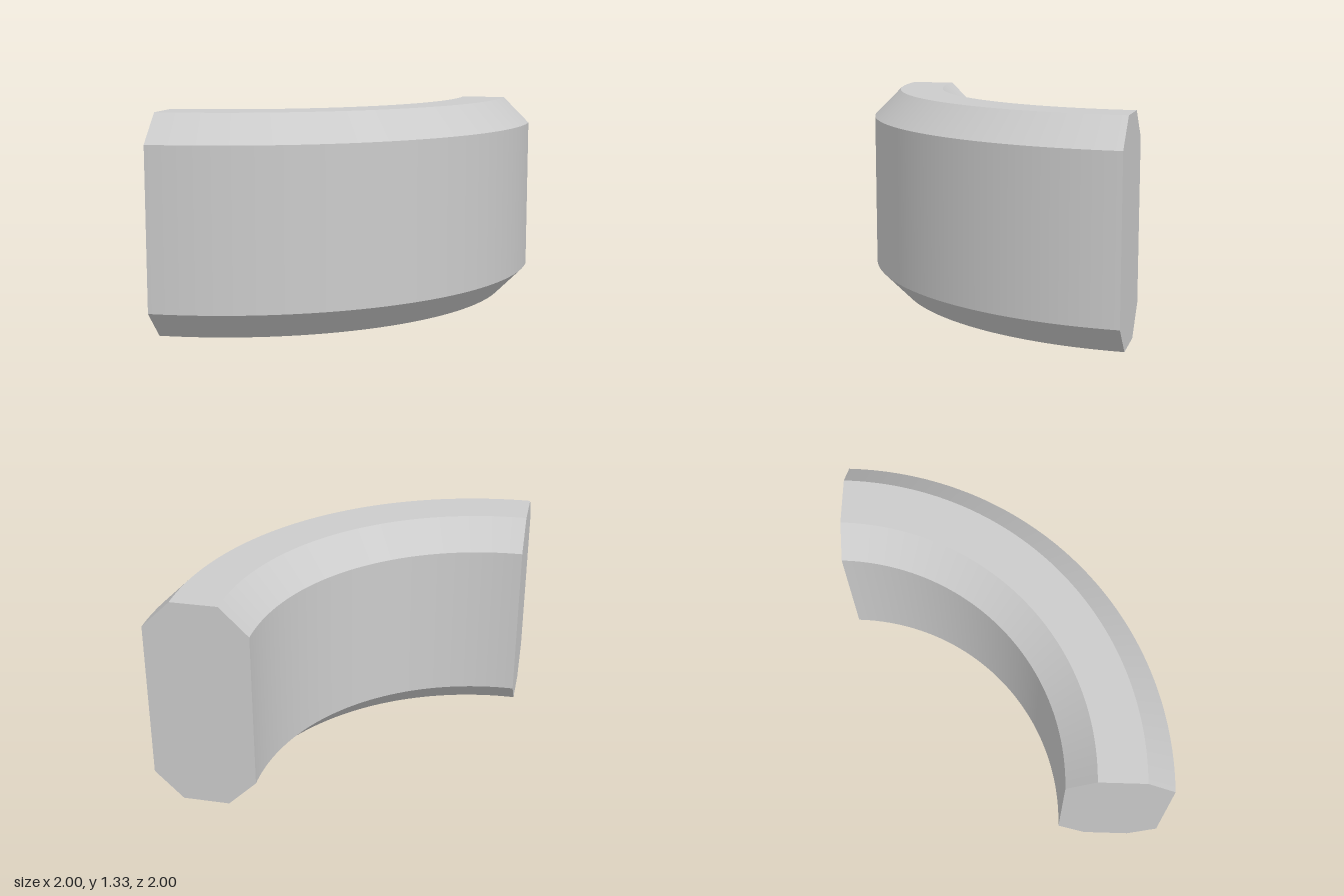
import * as THREE from 'three';
import { mergeGeometries } from 'three/addons/utils/BufferGeometryUtils.js';

const INNER = 1.375, OUTER = 2, HEIGHT = 1.325, CHAMFER = 0.172;

// Chamfered rectangle in (radius, height), anticlockwise from the lower outer edge
const profile = [
  [OUTER - CHAMFER, 0], [OUTER, CHAMFER],
  [OUTER, HEIGHT - CHAMFER], [OUTER - CHAMFER, HEIGHT],
  [INNER + CHAMFER, HEIGHT], [INNER, HEIGHT - CHAMFER],
  [INNER, CHAMFER], [INNER + CHAMFER, 0],
].map(([r, y]) => new THREE.Vector2(r, y));

export function createModel() {
  const group = new THREE.Group();
  group.name = 'quarterRing';
  const material = new THREE.MeshStandardMaterial({ color: 0xcccccc });

  const add = (name, geometry) => {
    const mesh = new THREE.Mesh(geometry, material);
    mesh.name = name;
    mesh.position.set(-1, 0, -1); // arc centre at the back right corner
    group.add(mesh);
  };

  // One lathed band per profile side: smooth around the arc, sharp between bands
  const bands = profile.map((p, i) =>
    new THREE.LatheGeometry([p, profile[(i + 1) % profile.length]], 64, 0, Math.PI / 2));
  add('curvedBody', mergeGeometries(bands));

  // Flat ends closing the arc
  const shape = new THREE.Shape(profile);
  add('rightEnd', new THREE.ShapeGeometry(shape).rotateY(-Math.PI / 2));
  add('backEnd', new THREE.ShapeGeometry(shape).rotateX(Math.PI).translate(0, HEIGHT, 0));

  return group;
}
